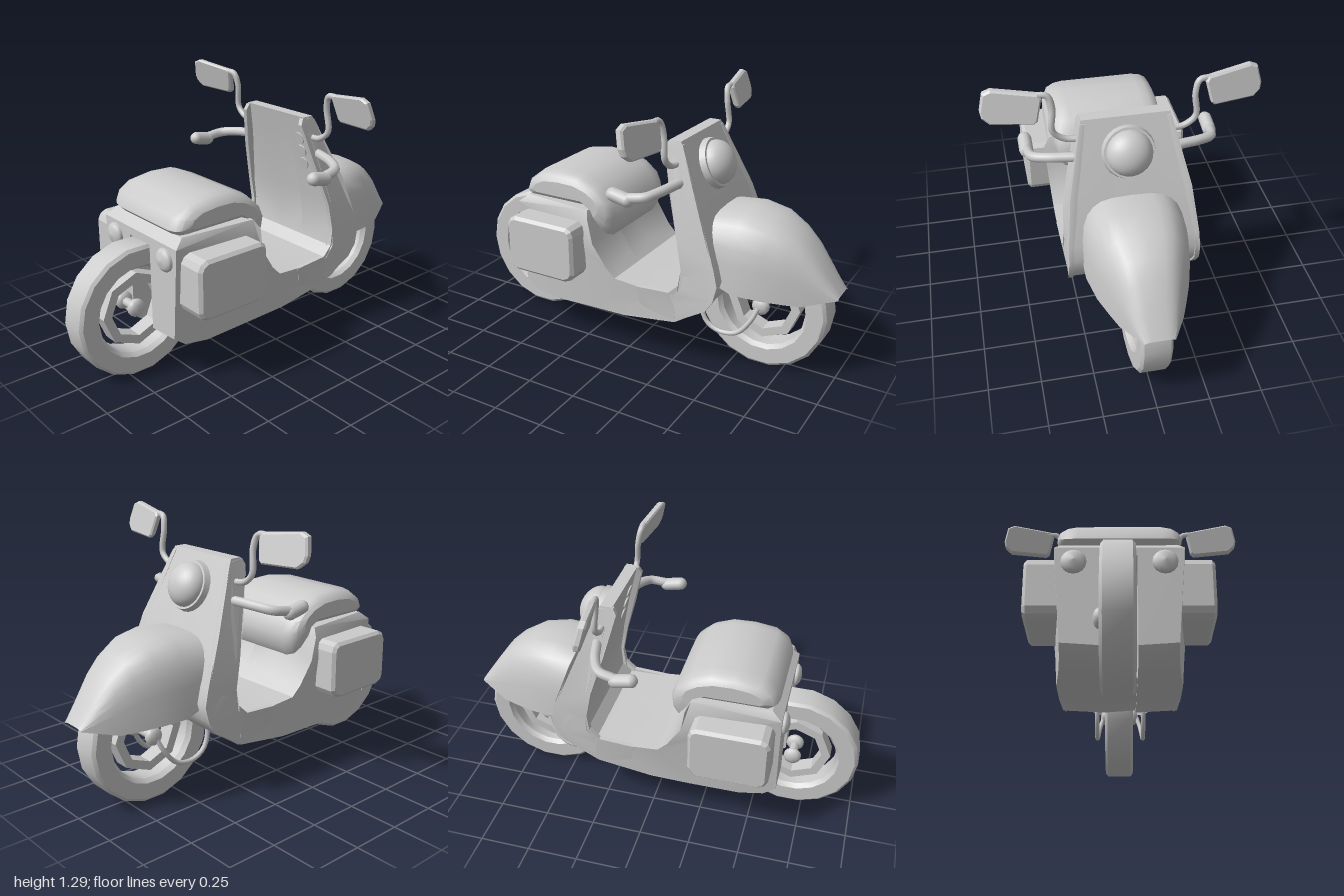
import * as THREE from 'three';
import { toCreasedNormals } from 'three/addons/utils/BufferGeometryUtils.js';

const grey = new THREE.MeshStandardMaterial({ color: 0xcccccc, side: THREE.DoubleSide });
const V = (x, y, z) => new THREE.Vector3(x, y, z);

export function createModel() {
  const root = new THREE.Group();

  const add = (name, geo, parent = root) => {
    const m = new THREE.Mesh(geo, grey);
    m.name = name;
    parent.add(m);
    return m;
  };
  const addPair = (name, geo) => {
    add('left' + name, geo);
    add('right' + name, geo).scale.x = -1;
  };

  // piecewise-linear lookup in [[key, value], ...]
  const lookup = (table, k) => {
    if (k <= table[0][0]) return table[0][1];
    for (let i = 1; i < table.length; i++) {
      const [a, va] = table[i - 1], [b, vb] = table[i];
      if (k <= b) return va + (vb - va) * (k - a) / (b - a);
    }
    return table[table.length - 1][1];
  };

  // half width of the bodywork
  const rearWidth = [[0.17, 0.29], [0.4, 0.315], [0.69, 0.33], [0.73, 0.3]];
  const shieldWidth = [[0.22, 0.29], [0.4, 0.315], [0.72, 0.3], [1.12, 0.205]];
  const halfWidth = (y, z) => z < -0.05
    ? lookup(shieldWidth, y)
    : lookup(rearWidth, y) - Math.max(0, z - 0.2) * 0.1;

  const sideShape = pts => new THREE.Shape(pts.map(([z, y]) => new THREE.Vector2(-z, y)));

  // side profile of [z, y] points extruded across x; both faces follow given x rules
  const slab = (pts, inner, outer) => {
    const geo = new THREE.ExtrudeGeometry(sideShape(pts), { depth: 1, bevelEnabled: false });
    geo.rotateY(Math.PI / 2);
    const p = geo.attributes.position;
    for (let i = 0; i < p.count; i++) {
      const out = p.getX(i) > 0.5, y = p.getY(i), z = p.getZ(i);
      p.setX(i, (out ? outer : inner)(y, z));
      if (out && y < 0.24) p.setY(i, y + 0.012);
    }
    return toCreasedNormals(geo, 0.6);
  };

  // loft closed or open rings of equal length, optionally capped
  const loft = (rings, closed, capped) => {
    const n = rings[0].length, pos = rings.flat().flatMap(v => [v.x, v.y, v.z]), idx = [];
    for (let r = 0; r < rings.length - 1; r++) {
      for (let i = 0; i < (closed ? n : n - 1); i++) {
        const a = r * n + i, b = r * n + (i + 1) % n;
        idx.push(a, b, a + n, b, b + n, a + n);
      }
    }
    if (capped) {
      const flat = rings[0].map(v => new THREE.Vector2(v.z, v.y));
      const last = (rings.length - 1) * n;
      for (const [a, b, c] of THREE.ShapeUtils.triangulateShape(flat, [])) {
        idx.push(c, b, a, last + a, last + b, last + c);
      }
    }
    const geo = new THREE.BufferGeometry();
    geo.setAttribute('position', new THREE.Float32BufferAttribute(pos, 3));
    geo.setIndex(idx);
    return toCreasedNormals(geo, 0.75);
  };

  const tube = (pts, r, seg = 20, sides = 8) =>
    new THREE.TubeGeometry(new THREE.CatmullRomCurve3(pts.map(p => V(...p))), seg, r, sides);

  // bodywork: side halves plus a middle strip with a rear wheel well
  const upper = [[-0.28, 0.235], [-0.44, 0.36], [-0.48, 0.42], [-0.5, 0.5], [-0.48, 0.58], [-0.4, 0.8],
    [-0.26, 1.125], [-0.2, 1.125], [-0.25, 0.95], [-0.31, 0.7], [-0.335, 0.55], [-0.325, 0.45], [-0.28, 0.4],
    [-0.1, 0.4], [0.04, 0.41], [0.09, 0.46], [0.16, 0.57], [0.18, 0.69], [0.2, 0.73], [0.58, 0.73], [0.63, 0.69]];
  const rearBottom = [[0.63, 0.225], [0.57, 0.18], [0.45, 0.165], [0.2, 0.19], [0, 0.195]];
  const well = [[0.63, 0.65], [0.5, 0.62], [0.4, 0.53], [0.34, 0.4], [0.33, 0.3], [0.37, 0.17], [0.2, 0.19], [0, 0.195]];
  addPair('BodyHalf', slab([...upper, ...rearBottom], () => 0.08, halfWidth));
  add('bodyMiddle', slab([...upper, ...well], () => -0.08, () => 0.08));

  // raised flanges along the leg shield, fading into the floor
  const flange = [[-0.28, 0.24], [-0.45, 0.36], [-0.49, 0.42], [-0.508, 0.5], [-0.488, 0.58], [-0.408, 0.8], [-0.27, 1.11],
    [-0.195, 1.12], [-0.18, 1.09], [-0.235, 0.88], [-0.295, 0.68], [-0.322, 0.54], [-0.31, 0.46], [-0.26, 0.412], [-0.08, 0.4], [-0.1, 0.3]];
  addPair('ShieldFlange', slab(flange, (y, z) => halfWidth(y, z) - 0.02, (y, z) => halfWidth(y, z) + 0.003));

  // seat: side profile lofted across the width; stations are [x, heightScale, lengthScale]
  const seatProfile = [[0.12, 0.58], [0.095, 0.62], [0.085, 0.69], [0.11, 0.76], [0.18, 0.83], [0.28, 0.875],
    [0.4, 0.88], [0.52, 0.86], [0.585, 0.81], [0.605, 0.75], [0.58, 0.725], [0.22, 0.725], [0.15, 0.67]];
  const halfSeat = [[0.19, 1, 1], [0.235, 0.92, 0.97], [0.265, 0.75, 0.9], [0.28, 0.48, 0.74]];
  const seatStations = [...halfSeat.map(([x, ...s]) => [-x, ...s]).reverse(), ...halfSeat];
  add('seat', loft(seatStations.map(([x, sy, sz]) => seatProfile.map(([z, y]) =>
    V(x, 0.79 + (y - 0.79) * sy, 0.35 + (z - 0.35) * sz))), true, true));

  // side cases with clipped corners
  const caseShape = sideShape([[0.27, 0.375], [0.56, 0.375], [0.59, 0.39], [0.605, 0.42], [0.605, 0.62], [0.59, 0.65],
    [0.56, 0.665], [0.25, 0.665], [0.225, 0.65], [0.215, 0.62], [0.215, 0.42], [0.235, 0.39]].reverse());
  addPair('SideCase', new THREE.ExtrudeGeometry(caseShape,
    { depth: 0.18, bevelSize: 0.015, bevelOffset: -0.015, bevelThickness: 0.015, bevelSegments: 1 })
    .rotateY(Math.PI / 2).translate(0.227, 0, 0));

  // tail lights
  const lamp = new THREE.LatheGeometry([[0.057, -0.05], [0.057, 0.006], [0.05, 0.014], [0.035, 0.024], [0, 0.03]]
    .map(([r, h]) => new THREE.Vector2(r, h)), 16);
  addPair('TailLight', lamp.rotateX(Math.PI / 2).translate(0.2, 0.618, 0.632));

  // front fender: open arches along z as [z, topY, bottomY, halfWidth]
  const fenderStations = [[-0.41, 0.79, 0.5, 0.25], [-0.55, 0.81, 0.44, 0.243], [-0.68, 0.79, 0.43, 0.215],
    [-0.78, 0.735, 0.42, 0.175], [-0.85, 0.67, 0.415, 0.145], [-0.93, 0.56, 0.435, 0.105], [-1, 0.46, 0.45, 0.068]];
  add('frontFender', loft(fenderStations.map(([z, top, bottom, w]) => {
    const ring = [];
    for (let i = 0; i <= 14; i++) {
      const a = Math.PI * i / 14, c = Math.cos(a), s = Math.max(0, Math.sin(a));
      ring.push(V(w * Math.sign(c) * Math.abs(c) ** 0.65, bottom + (top - bottom) * s ** 0.6, z));
    }
    return ring;
  }), false, false));

  // headlight on the sloped shield front
  const headlight = new THREE.Group();
  headlight.name = 'headlight';
  headlight.position.set(0, 0.975, -0.33);
  headlight.rotation.x = -Math.PI / 2 + 0.4;
  root.add(headlight);
  add('headlightRim', new THREE.CylinderGeometry(0.118, 0.13, 0.05, 24), headlight);
  add('headlightLens', new THREE.SphereGeometry(0.108, 24, 8, 0, Math.PI * 2, 0, Math.PI / 2)
    .scale(1, 0.75, 1).translate(0, 0.02, 0), headlight);

  // gauges on the inner panel
  [1.005, 0.937, 0.87].forEach((y, i) => {
    const g = add('gauge' + (i + 1), new THREE.CylinderGeometry(0.032, 0.032, 0.016, 20));
    g.position.set(0.147, y, -0.25 + (y - 0.95) * 0.265);
    g.rotation.x = Math.PI / 2 + 0.26;
  });

  // handlebars and grips
  addPair('Handlebar', tube([[0.2, 0.94, -0.28], [0.28, 0.937, -0.262], [0.36, 0.93, -0.24], [0.425, 0.918, -0.2], [0.442, 0.905, -0.12]], 0.024));
  addPair('Grip', new THREE.CapsuleGeometry(0.033, 0.075, 4, 10).rotateX(Math.PI / 2 - 0.2).translate(0.443, 0.902, -0.08));

  // mirrors
  addPair('MirrorStem', tube([[0.2, 1.02, -0.25], [0.28, 1.03, -0.245], [0.33, 1.075, -0.245], [0.325, 1.19, -0.235],
    [0.345, 1.25, -0.225], [0.41, 1.255, -0.22]], 0.015, 28));
  const plate = new THREE.ExtrudeGeometry(new THREE.Shape([[0.41, 1.137], [0.6, 1.143], [0.632, 1.17], [0.638, 1.2],
    [0.62, 1.275], [0.585, 1.29], [0.385, 1.265], [0.372, 1.245], [0.395, 1.15]].map(p => new THREE.Vector2(...p))),
  { depth: 0.02, bevelSize: 0.008, bevelThickness: 0.008, bevelOffset: -0.006, bevelSegments: 1 });
  const pp = plate.attributes.position;
  for (let i = 0; i < pp.count; i++) {
    pp.setZ(i, pp.getZ(i) - 0.25 + (pp.getX(i) - 0.37) * 0.13 + (pp.getY(i) - 1.21) * 0.27);
  }
  plate.computeVertexNormals();
  addPair('Mirror', plate);

  // wheels: tyre and rim ring turned around x; hub spans [from, to]
  const turned = (pts, sides) => toCreasedNormals(
    new THREE.LatheGeometry([...pts, pts[0]].map(p => new THREE.Vector2(...p)), sides).rotateZ(Math.PI / 2), 0.5);
  for (const [name, z, from, to] of [['rearWheel', 0.68, -0.105, 0.05], ['frontWheel', -0.63, -0.1, 0.1]]) {
    const wheel = new THREE.Group();
    wheel.name = name;
    wheel.position.set(-0.005, 0.325, z);
    root.add(wheel);
    add('tyre', turned([[0.215, -0.05], [0.232, -0.073], [0.31, -0.073], [0.325, -0.06],
      [0.325, 0.06], [0.31, 0.073], [0.232, 0.073], [0.215, 0.05]], 18), wheel);
    add('rimRing', turned([[0.14, -0.04], [0.185, -0.04], [0.185, 0.04], [0.14, 0.04]], 8), wheel);
    add('axle', new THREE.CylinderGeometry(0.022, 0.022, to - from - 0.02, 8)
      .rotateZ(Math.PI / 2).translate((from + to) / 2, 0, 0), wheel);
    for (const [end, s] of [[from, 1], [to, -1]]) {
      add('hubCap', new THREE.SphereGeometry(0.045, 10, 8).scale(0.6, 1, 1), wheel).position.x = end + s * 0.025;
    }
  }

  // curved front suspension arms
  addPair('FrontArm', tube([[0.09, 0.32, -0.625], [0.11, 0.25, -0.595], [0.12, 0.175, -0.53], [0.12, 0.16, -0.43],
    [0.12, 0.2, -0.365], [0.12, 0.29, -0.34], [0.12, 0.36, -0.36]], 0.012));

  return root;
}
